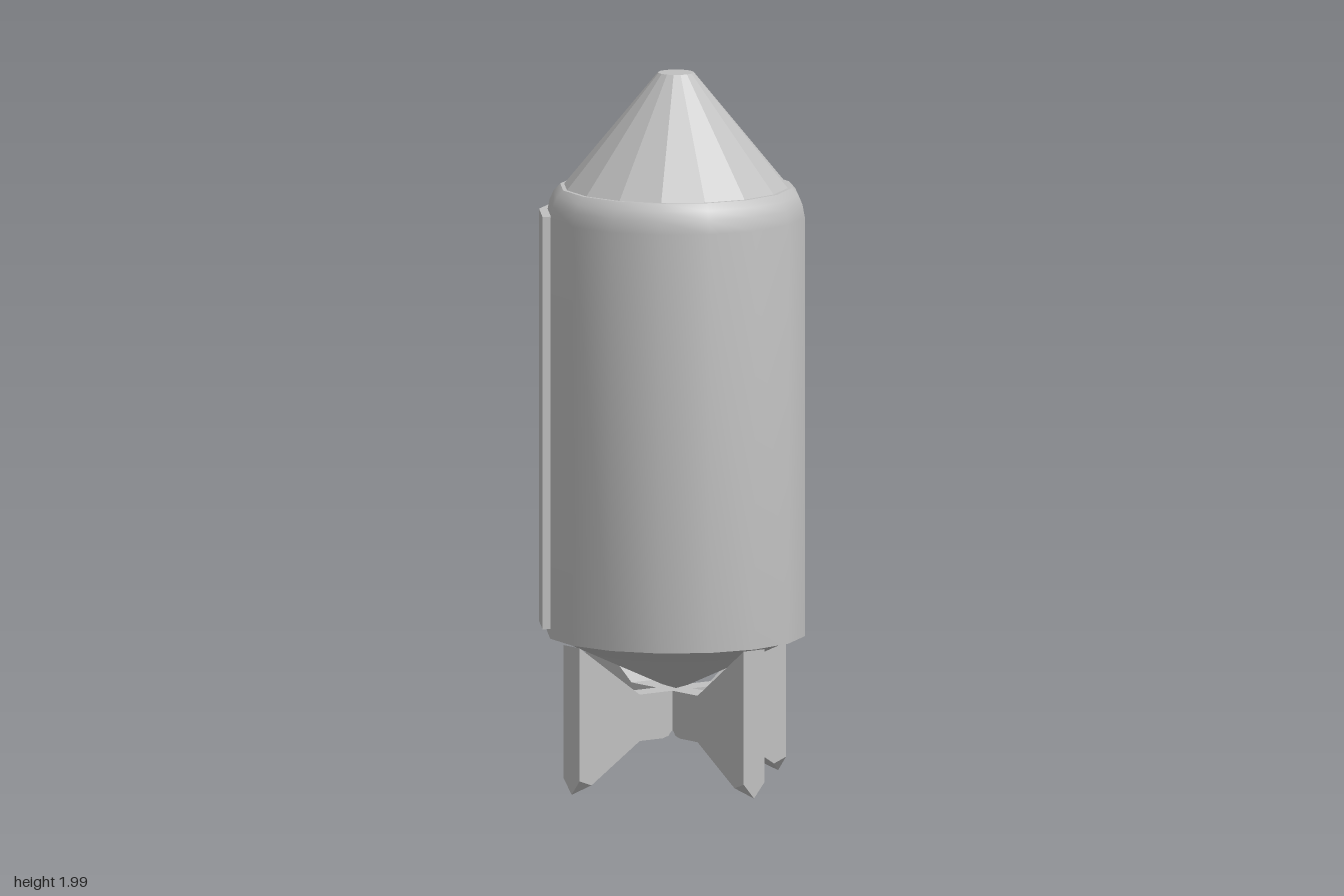
import * as THREE from 'three';
import { toCreasedNormals } from 'three/addons/utils/BufferGeometryUtils.js';

const SIDES = 16;
const STEP = (Math.PI * 2) / SIDES;
const v2 = (points) => points.map(([x, y]) => new THREE.Vector2(x, y));

// Curved plate behind the hull, spanning facets from..to and heights y0..y1
function plate(from, to, y0, y1) {
  const outer = [], inner = [];
  for (let i = from; i <= to; i++) {
    const c = Math.cos(i * STEP), s = Math.sin(i * STEP);
    outer.push([0.382 * c, 0.382 * s]);
    inner.unshift([0.35 * c, 0.35 * s]);
  }
  const geo = new THREE.ExtrudeGeometry(new THREE.Shape(v2([...outer, ...inner])), {
    depth: y1 - y0, bevelEnabled: false,
  });
  geo.rotateX(-Math.PI / 2).translate(0, y0, 0);
  return toCreasedNormals(geo, 0.5);
}

// Tail fin: a flat extrusion whose lower outer corner is drawn to a point
function finGeometry() {
  const half = 0.036;
  const shape = new THREE.Shape(v2([
    [0, 0.165], [0.04, 0.162], [0.05, 0.15], [0.07, 0.145], [0.15, 0.145],
    [0.318, 0.037], [0.36, 0.052], [0.36, 0.425], [0.15, 0.275], [0, 0.275],
  ]));
  const geo = new THREE.ExtrudeGeometry(shape, { depth: half * 2, steps: 2, bevelEnabled: false });
  geo.translate(0, 0, -half);
  const p = geo.attributes.position;
  for (let i = 0; i < p.count; i++) {
    const onMiddle = Math.abs(p.getZ(i)) < 1e-4;
    if (onMiddle && p.getX(i) > 0.3 && p.getY(i) < 0.1) p.setXYZ(i, 0.36, 0.01, 0);
  }
  geo.computeVertexNormals();
  return geo;
}

export function createModel() {
  const model = new THREE.Group();
  model.name = 'rocketCanister';
  const grey = new THREE.MeshStandardMaterial({ color: 0xc0c0c0 });
  grey.name = 'plainGrey';

  const add = (parent, name, geo) => {
    const mesh = new THREE.Mesh(geo, grey);
    mesh.name = name;
    parent.add(mesh);
    return mesh;
  };

  const upper = new THREE.Group();
  upper.name = 'hull';
  upper.position.z = 0.01;
  model.add(upper);

  // Hull with tapered underside, rounded shoulder and flat rim
  const profile = v2([
    [0, 0.275], [0.04, 0.288], [0.345, 0.428], [0.36, 0.428], [0.36, 1.6],
    [0.353, 1.637], [0.341, 1.663], [0.323, 1.682], [0.3, 1.682],
  ]);
  add(upper, 'body', toCreasedNormals(new THREE.LatheGeometry(profile, SIDES), 0.5));

  // Faceted nose
  const nose = new THREE.CylinderGeometry(0.05, 0.312, 0.318, SIDES);
  nose.translate(0, 1.841, 0);
  add(upper, 'noseCone', toCreasedNormals(nose, 0.1));

  // Raised back panel: three full bands joined at both edges, leaving two windows
  const panel = new THREE.Group();
  panel.name = 'backPanel';
  upper.add(panel);
  for (const [y0, y1] of [[0.455, 0.68], [0.94, 1.195], [1.455, 1.61]]) {
    add(panel, 'panelBand', plate(1, 7, y0, y1));
  }
  for (const [y0, y1] of [[0.68, 0.94], [1.195, 1.455]]) {
    add(panel, 'panelEdge', plate(1, 2, y0, y1));
    add(panel, 'panelEdge', plate(6, 7, y0, y1));
  }

  // Four tail fins in a cross
  const fins = new THREE.Group();
  fins.name = 'tailFins';
  fins.position.z = 0.005;
  model.add(fins);
  const finGeo = finGeometry();
  for (let i = 0; i < 4; i++) {
    add(fins, 'tailFin', finGeo).rotation.y = (i * Math.PI) / 2;
  }

  model.position.y = -0.005;
  return model;
}
